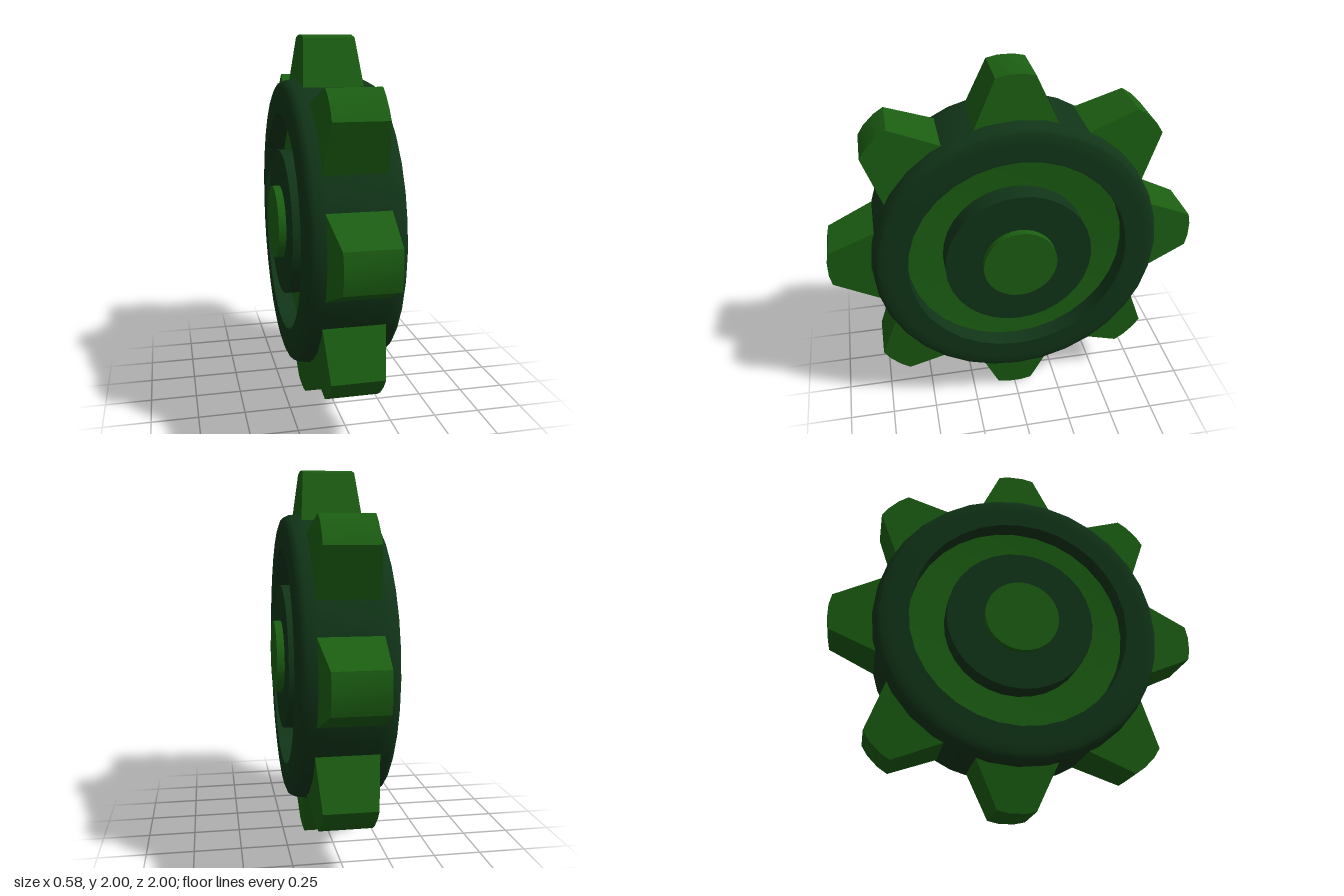
import * as THREE from 'three';
import { toCreasedNormals } from 'three/addons/utils/BufferGeometryUtils.js';

const SEGMENTS = 32;
const TEETH = 8;

// Revolve a mirrored [radius, x] half profile around the x axis
function turned(half, closed = false) {
  const pts = [
    ...half.map(([r, x]) => new THREE.Vector2(r, -x)).reverse(),
    ...half.map(([r, x]) => new THREE.Vector2(r, x)),
  ].reverse();
  pts.reverse();
  if (closed) pts.push(pts[0].clone());
  const geo = new THREE.LatheGeometry(pts, SEGMENTS);
  geo.rotateZ(-Math.PI / 2);
  return toCreasedNormals(geo, 0.8);
}

// Tapered tooth pointing up, with a gently rounded tip
function toothGeometry() {
  const s = new THREE.Shape();
  s.moveTo(-0.222, 0.72);
  s.lineTo(0.222, 0.72);
  s.lineTo(0.1, 0.987);
  s.lineTo(0.04, 1);
  s.lineTo(-0.04, 1);
  s.lineTo(-0.1, 0.987);
  s.closePath();
  const geo = new THREE.ExtrudeGeometry(s, { depth: 2, bevelEnabled: false });
  geo.translate(0, 0, -1);
  // Narrow the thickness towards the tip
  const p = geo.attributes.position;
  for (let i = 0; i < p.count; i++) {
    const t = (p.getY(i) - 0.72) / 0.28;
    p.setZ(i, p.getZ(i) * THREE.MathUtils.lerp(0.161, 0.135, t));
  }
  geo.rotateY(Math.PI / 2);
  return toCreasedNormals(geo, 0.5);
}

export function createModel() {
  const green = new THREE.MeshStandardMaterial({ color: 0x1b5e12 });
  const dark = new THREE.MeshStandardMaterial({ color: 0x113518 });
  const group = new THREE.Group();
  group.name = 'gearWheel';

  const add = (name, geo, mat) => {
    const mesh = new THREE.Mesh(geo, mat);
    mesh.name = name;
    mesh.position.y = 1;
    group.add(mesh);
    return mesh;
  };

  // Rim with softened outer shoulders
  add('rim', turned([
    [0.775, 0.15], [0.768, 0.205], [0.755, 0.232], [0.735, 0.24],
    [0.69, 0.245], [0.59, 0.245],
  ], true), dark);

  // Recessed web, slightly dished towards the hub
  add('web', turned([[0.6, 0.145], [0.39, 0.13], [0, 0.13]]), green);

  // Raised hub and the axle through it
  add('hub', turned([[0.395, 0.25], [0, 0.25]]), dark);
  add('axle', turned([[0.198, 0.29], [0, 0.29]]), green);

  // Ring of teeth
  const tooth = toothGeometry();
  for (let i = 0; i < TEETH; i++) {
    add(`tooth${i + 1}`, tooth, green).rotation.x = (i / TEETH) * Math.PI * 2;
  }
  return group;
}
